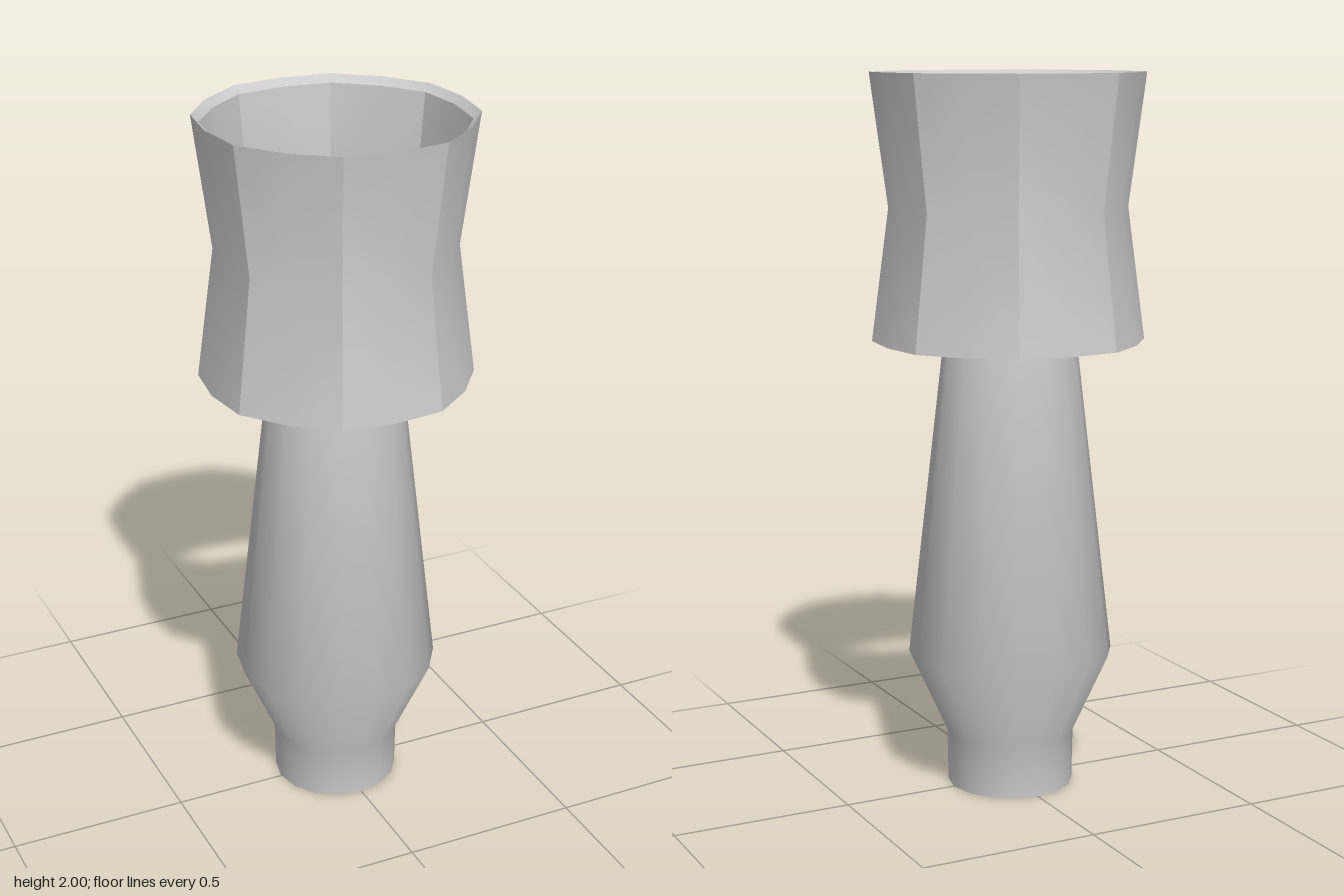
import * as THREE from 'three';
import { toCreasedNormals } from 'three/addons/utils/BufferGeometryUtils.js';

const SIDES = 16;
const material = new THREE.MeshStandardMaterial({ color: 0xcccccc });

// Revolves a [radius, height] profile into a 16-sided solid
function turned(name, profile, crease, oddScale = 1) {
  const points = profile.map(([r, y]) => new THREE.Vector2(r, y));
  const geometry = new THREE.LatheGeometry(points, SIDES);
  const pos = geometry.attributes.position;
  // Push every second corner outwards, pairing the facets
  for (let i = 0; i < pos.count; i++) {
    const step = Math.floor(i / points.length);
    const s = step % 2 ? oddScale : 1;
    pos.setXYZ(i, pos.getX(i) * s, pos.getY(i), pos.getZ(i) * s);
  }
  const mesh = new THREE.Mesh(toCreasedNormals(geometry, crease), material);
  mesh.name = name;
  return mesh;
}

export function createModel() {
  const group = new THREE.Group();
  group.name = 'plugAndCollar';

  // Tapered solid plug with a narrow foot
  const plug = turned('plug', [
    [0, 0], [0.177, 0], [0.18, 0.15], [0.287, 0.385], [0.179, 1.32], [0, 1.32],
  ], 0.8);
  plug.position.set(-0.003, 0, -0.003);
  group.add(plug);

  // Hollow waisted collar with rims bevelled towards the inside
  group.add(turned('collar', [
    [0.367, 1.27], [0.32, 1.635], [0.367, 2],
    [0.346, 1.98], [0.309, 1.635], [0.346, 1.29], [0.367, 1.27],
  ], 0.5, 1.028));

  return group;
}
